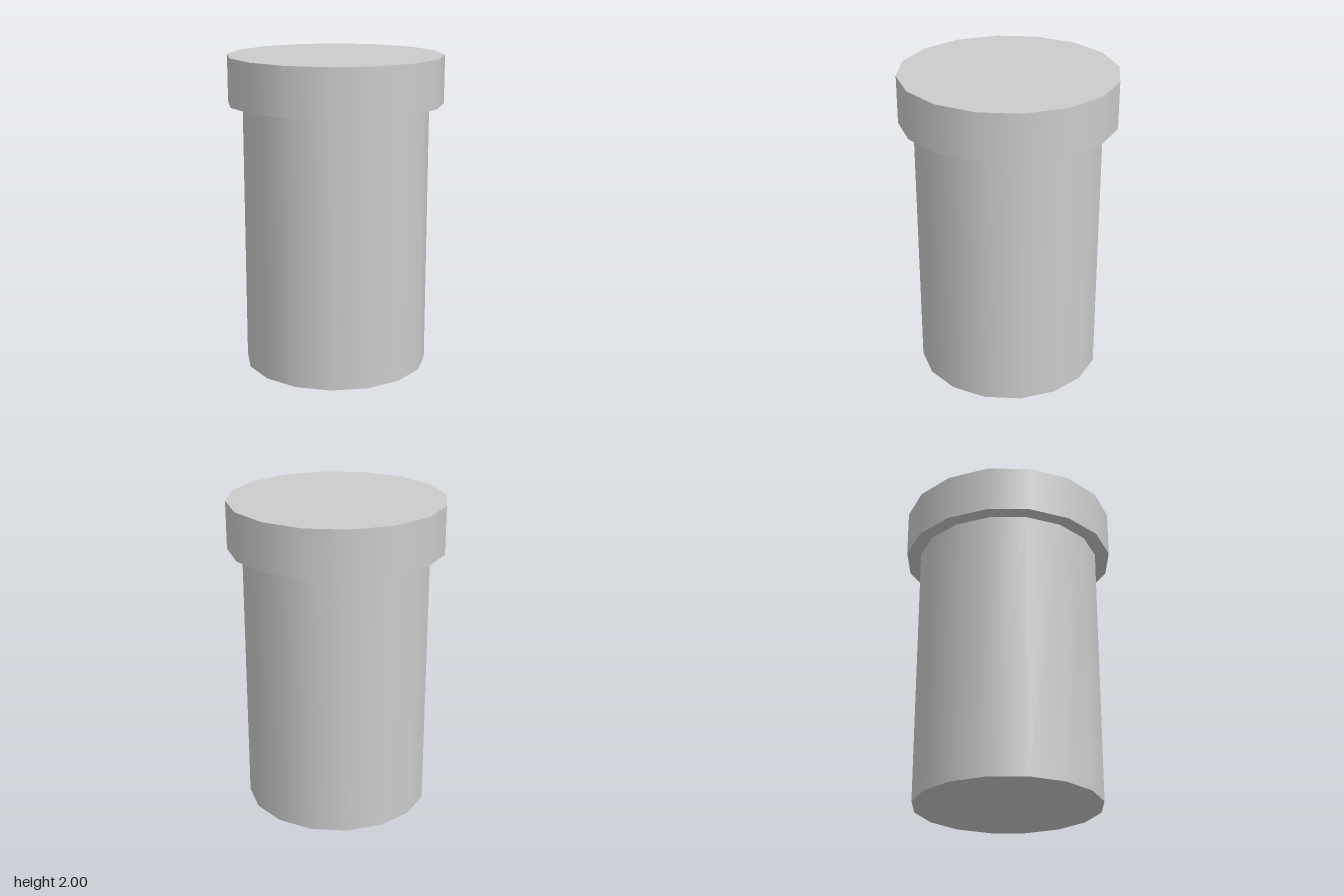
import * as THREE from 'three';

const SIDES = 16;

export function createModel() {
  const group = new THREE.Group();
  group.name = 'cappedPipe';
  const material = new THREE.MeshStandardMaterial({ color: 0xcccccc });

  // Upright 16-sided cylinder spanning bottom to top
  const addCylinder = (name, radius, bottom, top) => {
    const geometry = new THREE.CylinderGeometry(radius, radius, top - bottom, SIDES);
    const mesh = new THREE.Mesh(geometry, material);
    mesh.name = name;
    mesh.position.y = (bottom + top) / 2;
    group.add(mesh);
  };

  addCylinder('shaft', 0.588, 0, 1.7); // long lower body
  addCylinder('rim', 0.68, 1.7, 2); // wider collar on top

  return group;
}
